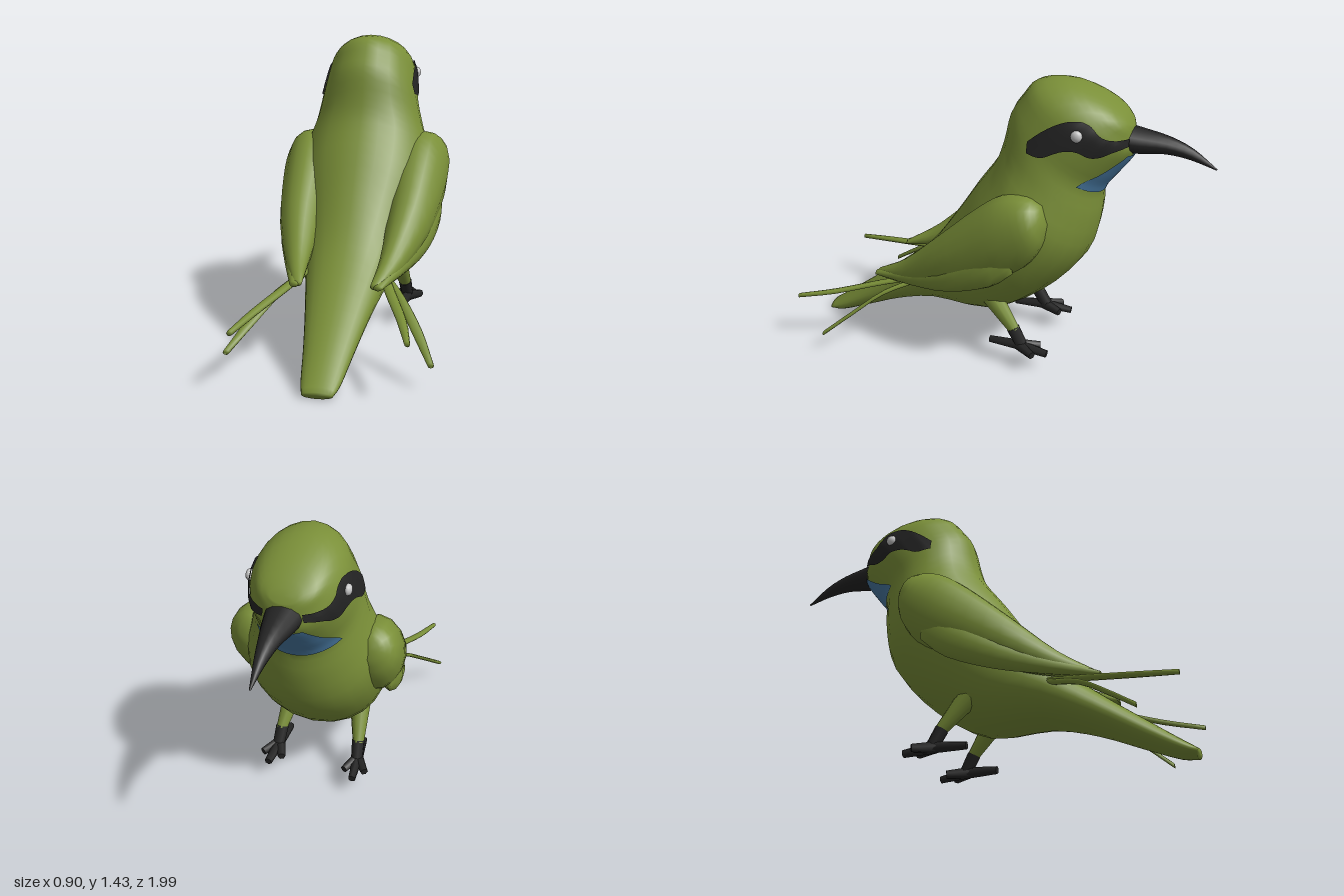
import * as THREE from 'three';

const mat = (name, color, side = THREE.FrontSide) =>
  Object.assign(new THREE.MeshStandardMaterial({ color, side }), { name });

// Spline-blended sections: [zTop, yTop, zBottom, yBottom, halfWidth, centreX]
function makeSurface(sections) {
  const spline = f => new THREE.CatmullRomCurve3(sections.map(f), false, 'catmullrom', 0.5);
  const top = spline(s => new THREE.Vector3(s[5] || 0, s[1], s[0]));
  const bottom = spline(s => new THREE.Vector3(s[5] || 0, s[3], s[2]));
  const width = spline(s => new THREE.Vector3(s[4], 0, 0));
  // t runs along the sections, angle 0 is the top and PI the bottom
  return (t, angle, swell = 1) => {
    const a = top.getPoint(t), b = bottom.getPoint(t);
    const p = a.clone().add(b).multiplyScalar(0.5);
    p.addScaledVector(a.sub(b), 0.5 * swell * Math.cos(angle));
    p.x += width.getPoint(t).x * swell * Math.sin(angle);
    return p;
  };
}

function buildGeometry(points, index) {
  const g = new THREE.BufferGeometry().setFromPoints(points);
  g.setIndex(index);
  g.computeVertexNormals();
  return g;
}

// Closed smooth solid through the sections
function loft(sections, rows, cols) {
  const surface = makeSurface(sections);
  const pts = [], idx = [];
  for (let i = 0; i <= rows; i++)
    for (let j = 0; j < cols; j++) pts.push(surface(i / rows, (j / cols) * Math.PI * 2));
  for (let i = 0; i < rows; i++)
    for (let j = 0; j < cols; j++) {
      const k = (j + 1) % cols, a = i * cols + j, b = i * cols + k;
      idx.push(a, b, a + cols, b, b + cols, a + cols);
    }
  for (const end of [0, rows]) {
    const c = pts.length;
    pts.push(surface(end / rows, 0).add(surface(end / rows, Math.PI)).multiplyScalar(0.5));
    for (let j = 0; j < cols; j++) {
      const a = end * cols + j, b = end * cols + (j + 1) % cols;
      if (end) idx.push(a, b, c); else idx.push(b, a, c);
    }
  }
  // Turn the faces outward
  let volume = 0;
  for (let i = 0; i < idx.length; i += 3)
    volume += pts[idx[i]].dot(pts[idx[i + 1]].clone().cross(pts[idx[i + 2]]));
  if (volume < 0) idx.reverse();
  return buildGeometry(pts, idx);
}

// Open sheet, f(u, v) gives a point
function sheet(f, nu, nv) {
  const pts = [], idx = [];
  for (let i = 0; i <= nu; i++) for (let j = 0; j <= nv; j++) pts.push(f(i / nu, j / nv));
  for (let i = 0; i < nu; i++)
    for (let j = 0; j < nv; j++) {
      const a = i * (nv + 1) + j, b = a + nv + 1;
      idx.push(a, b, a + 1, b, b + 1, a + 1);
    }
  return buildGeometry(pts, idx);
}

// Tapered rod between two points
function rod(a, b, r0, r1, sides = 7) {
  const p = new THREE.Vector3(...a), q = new THREE.Vector3(...b), d = q.clone().sub(p);
  const g = new THREE.CylinderGeometry(r1, r0, d.length(), sides);
  g.applyQuaternion(new THREE.Quaternion().setFromUnitVectors(
    new THREE.Vector3(0, 1, 0), d.clone().normalize()));
  return g.translate(...p.add(q).multiplyScalar(0.5).toArray());
}

export function createModel() {
  const green = mat('leaf green', 0x7a8f38);
  const dark = mat('charcoal', 0x242424, THREE.DoubleSide);
  const blue = mat('throat blue', 0x47779f, THREE.DoubleSide);
  const pale = mat('eye grey', 0xc8c8c8);

  const bird = new THREE.Group();
  bird.name = 'bird';
  const add = (name, geometry, material, parent = bird) => {
    const m = new THREE.Mesh(geometry, material);
    m.name = name;
    parent.add(m);
    return m;
  };

  // Tail, body and head in one skin
  const bodySections = [
    [1.0, 0.035, 0.985, 0.002, 0.065],
    [0.93, 0.085, 0.91, 0.01, 0.085],
    [0.8, 0.18, 0.75, 0.075, 0.11],
    [0.6, 0.33, 0.55, 0.16, 0.15],
    [0.4, 0.5, 0.33, 0.215, 0.2],
    [0.25, 0.7, 0.03, 0.215, 0.27],
    [0.13, 0.88, -0.22, 0.36, 0.325],
    [0.03, 1.02, -0.42, 0.58, 0.325],
    [-0.01, 1.13, -0.48, 0.79, 0.275],
    [-0.04, 1.26, -0.49, 0.93, 0.243],
    [-0.09, 1.34, -0.55, 1.02, 0.23],
    [-0.16, 1.415, -0.62, 1.12, 0.21],
    [-0.31, 1.43, -0.62, 1.18, 0.17],
    [-0.47, 1.375, -0.615, 1.22, 0.125],
    [-0.57, 1.305, -0.61, 1.25, 0.06],
  ];
  const body = add('body', loft(bodySections, 42, 24), green);
  body.updateMatrixWorld();

  // Curved beak
  add('beak', loft([
    [-0.56, 1.25, -0.56, 1.12, 0.09],
    [-0.64, 1.235, -0.65, 1.12, 0.075],
    [-0.77, 1.21, -0.76, 1.13, 0.048],
    [-0.88, 1.165, -0.87, 1.115, 0.026],
    [-0.99, 1.085, -0.985, 1.08, 0.004],
  ], 12, 12), dark);

  // Blue throat patch just over the skin
  const skin = makeSurface(bodySections);
  add('throatPatch', sheet((u, v) => {
    const halfAngle = 0.93 - 0.53 * u;
    return skin((9 + 2 * u) / 14, Math.PI + (v * 2 - 1) * halfAngle, 1.02);
  }, 10, 14), blue);

  // Finds the point on the side of the head at a given z and y
  const ray = new THREE.Raycaster();
  const onSide = (s, z, y, lift) => {
    ray.set(new THREE.Vector3(s, y, z), new THREE.Vector3(-s, 0, 0));
    const hit = ray.intersectObject(body)[0];
    return hit ? hit.point.addScaledVector(hit.face.normal, lift) : new THREE.Vector3(s * 0.05, y, z);
  };
  // Mask outline: [z, upper y, lower y]
  const mask = [[-0.18, 1.19, 1.14], [-0.25, 1.245, 1.13], [-0.33, 1.29, 1.165], [-0.4, 1.3, 1.17],
    [-0.45, 1.285, 1.145], [-0.5, 1.235, 1.145], [-0.55, 1.215, 1.165], [-0.6, 1.21, 1.175]];
  const maskEdges = [1, 2].map(k => new THREE.CatmullRomCurve3(
    mask.map(m => new THREE.Vector3(0, m[k], m[0])), false, 'catmullrom', 0.5));

  for (const s of [1, -1]) {
    const side = s > 0 ? 'left' : 'right';

    // Eye mask and eye
    add(side + 'Mask', sheet((u, v) => {
      const p = maskEdges[0].getPoint(u).lerp(maskEdges[1].getPoint(u), v);
      return onSide(s, p.z, p.y, 0.008);
    }, 32, 8), dark);
    const eye = add(side + 'Eye', new THREE.SphereGeometry(0.027, 10, 8), pale);
    eye.position.copy(onSide(s, -0.4, 1.24, 0.008));
    eye.scale.set(0.7, 1, 1);

    // Folded wing
    const wing = new THREE.Group();
    wing.name = side + 'Wing';
    bird.add(wing);
    const mirror = list => list.map(r => [...r.slice(0, 5), r[5] * s]);
    add('foldedWing', loft(mirror([
      [0.62, 0.385, 0.63, 0.36, 0.02, 0.17],
      [0.45, 0.49, 0.45, 0.37, 0.055, 0.215],
      [0.25, 0.67, 0.2, 0.43, 0.1, 0.255],
      [0.05, 0.85, -0.05, 0.51, 0.13, 0.27],
      [-0.08, 0.94, -0.2, 0.6, 0.135, 0.277],
      [-0.2, 0.955, -0.28, 0.72, 0.11, 0.29],
      [-0.27, 0.92, -0.3, 0.83, 0.045, 0.29],
    ]), 18, 16), green, wing);

    // Overlapping lower wing layer, fading into the shoulder
    add('lowerWingLayer', loft(mirror([
      [0.63, 0.38, 0.63, 0.355, 0.02, 0.185],
      [0.4, 0.46, 0.4, 0.375, 0.035, 0.255],
      [0.2, 0.56, 0.18, 0.41, 0.05, 0.31],
      [0.02, 0.67, -0.04, 0.49, 0.052, 0.34],
      [-0.12, 0.74, -0.16, 0.59, 0.02, 0.355],
    ]), 12, 12), green, wing);

    // Two long splayed feathers: [x, y, z, half width]
    const feathers = [
      [[0.17, 0.38, 0.38, 0.02], [0.23, 0.34, 0.58, 0.025], [0.31, 0.29, 0.8, 0.022], [0.36, 0.255, 0.99, 0.012]],
      [[0.17, 0.37, 0.38, 0.02], [0.27, 0.31, 0.55, 0.022], [0.36, 0.21, 0.69, 0.025], [0.435, 0.11, 0.82, 0.014]],
    ];
    for (const f of feathers)
      add('longFeather', loft(mirror(f.map(([x, y, z, w]) =>
        [z, y + 0.012, z, y - 0.012, w, x])), 9, 8), green, wing);

    // Leg and foot
    const leg = new THREE.Group();
    leg.name = side + 'Leg';
    bird.add(leg);
    const m = ([x, y, z]) => [x * s, y, z];
    add('thigh', rod(m([0.175, 0.36, 0.02]), m([0.205, 0.19, -0.12]), 0.055, 0.028, 10), green, leg);
    add('ankle', rod(m([0.203, 0.2, -0.11]), m([0.21, 0.11, -0.16]), 0.033, 0.03), dark, leg);
    for (const tip of [[0.22, 0.098, -0.29], [0.268, 0.105, -0.23], [0.165, 0.105, -0.24], [0.2, 0.11, 0.01]])
      add('toe', rod(m([0.21, 0.115, -0.14]), m(tip), 0.028, 0.019, 6), dark, leg);
  }
  return bird;
}
